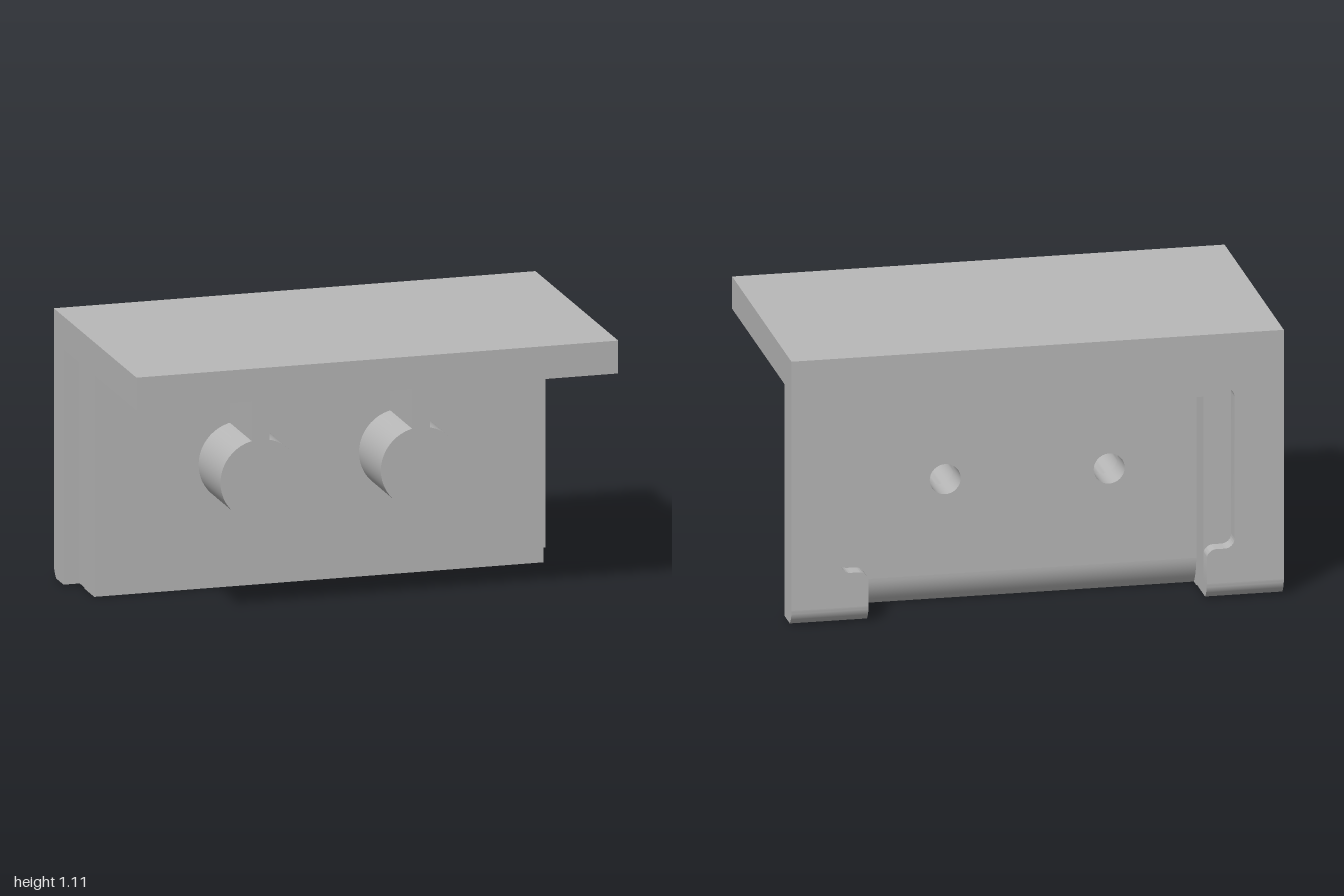
import * as THREE from 'three';
import { toCreasedNormals } from 'three/addons/utils/BufferGeometryUtils.js';

export function createModel() {
  const group = new THREE.Group();
  const grey = new THREE.MeshStandardMaterial({ color: 0xb8b8b8 });
  grey.name = 'grey';

  const add = (name, geometry) => {
    const mesh = new THREE.Mesh(geometry, grey);
    mesh.name = name;
    group.add(mesh);
    return mesh;
  };
  // Box given by its extents
  const box = (name, x0, x1, y0, y1, z0, z1) =>
    add(name, new THREE.BoxGeometry(x1 - x0, y1 - y0, z1 - z0)
      .translate((x0 + x1) / 2, (y0 + y1) / 2, (z0 + z1) / 2));
  // Front-facing shape extruded between two depths
  const slab = (name, shape, z0, z1) => {
    const g = new THREE.ExtrudeGeometry(shape, { depth: z1 - z0, bevelEnabled: false, curveSegments: 16 });
    return add(name, toCreasedNormals(g.translate(0, 0, z0), 0.6));
  };
  // Side profile (-z, y) extruded between two x positions
  const bar = (name, shape, x0, x1) => {
    const g = new THREE.ExtrudeGeometry(shape, { depth: x1 - x0, bevelEnabled: false, curveSegments: 10 });
    return add(name, toCreasedNormals(g.translate(0, 0, x0).rotateY(Math.PI / 2), 0.4));
  };
  // Upside-down U with a square opening
  const archShape = (w, bottom, top, openW, openTop) => {
    const s = new THREE.Shape();
    [[-w, bottom], [-w, top], [w, top], [w, bottom], [openW, bottom], [openW, openTop],
      [-openW, openTop], [-openW, bottom]].forEach(([x, y], i) => (i ? s.lineTo(x, y) : s.moveTo(x, y)));
    return s;
  };

  const UNDER = 0.972, FOOT = 0.067;
  const BACK = -0.567, LEDGE = -0.5, MID = -0.433, FLOOR = -0.367, FACE = -0.233, TIP = 0.067;
  const OPEN = 0.687, OPEN_TOP = 0.828;

  // Shelf
  box('shelf', -1, 1, UNDER, 1.107, BACK, 0.567);

  // Outer back frame: wide rounded recess narrowing between the feet
  const r = 0.04, W = 0.8, T = 0.88, B = 0.21;
  const frame = new THREE.Shape();
  frame.moveTo(-1, FOOT);
  frame.lineTo(-1, UNDER);
  frame.lineTo(1, UNDER);
  frame.lineTo(1, FOOT);
  frame.lineTo(OPEN, FOOT);
  frame.lineTo(OPEN, B - r);
  frame.absarc(OPEN + r, B - r, r, Math.PI, Math.PI / 2, true);
  frame.lineTo(W - r, B);
  frame.absarc(W - r, B + r, r, -Math.PI / 2, 0, false);
  frame.lineTo(W, T - r);
  frame.absarc(W - r, T - r, r, 0, Math.PI / 2, false);
  frame.lineTo(-W + r, T);
  frame.absarc(-W + r, T - r, r, Math.PI / 2, Math.PI, false);
  frame.lineTo(-W, B + r);
  frame.absarc(-W + r, B + r, r, Math.PI, Math.PI * 1.5, false);
  frame.lineTo(-OPEN - r, B);
  frame.absarc(-OPEN - r, B - r, r, Math.PI / 2, 0, true);
  frame.lineTo(-OPEN, FOOT);
  slab('backFrame', frame, BACK, LEDGE);

  // Inner ledge and spacer behind the front plate
  slab('ledgeFrame', archShape(1, FOOT, UNDER, OPEN, OPEN_TOP), LEDGE, MID);
  slab('spacerFrame', archShape(0.933, 0.005, UNDER, OPEN, OPEN_TOP), MID, FLOOR);

  // Feet with rounded back edge
  const foot = new THREE.Shape();
  foot.moveTo(-MID, 0.005);
  foot.lineTo(0.535, 0.005);
  foot.quadraticCurveTo(0.567, 0.03, 0.567, FOOT);
  foot.lineTo(-MID, FOOT);
  bar('leftFoot', foot, OPEN, 1);
  bar('rightFoot', foot, -1, -OPEN);

  // Front plate with two bolt holes
  const PX = 0.333, PY = 0.51, HOLE = 0.063, LIP = 0.114;
  const plate = new THREE.Shape();
  plate.moveTo(-0.933, LIP);
  plate.lineTo(0.933, LIP);
  plate.lineTo(0.933, UNDER);
  plate.lineTo(-0.933, UNDER);
  for (const side of [-1, 1]) {
    plate.holes.push(new THREE.Path().absarc(side * PX, PY, HOLE, 0, Math.PI * 2, true));
  }
  slab('frontPlate', plate, FLOOR, FACE);

  // Lower lip, curving forward underneath
  const lip = new THREE.Shape();
  lip.moveTo(-FACE, 0);
  lip.lineTo(0.32, 0);
  lip.quadraticCurveTo(-FLOOR, 0.055, -FLOOR, LIP);
  lip.lineTo(-FACE, LIP);
  bar('lowerLip', lip, -OPEN, OPEN);
  box('leftLipEnd', OPEN, 0.933, 0, LIP, FLOOR, FACE);
  box('rightLipEnd', -0.933, -OPEN, 0, LIP, FLOOR, FACE);

  // Round pegs with blind bolt holes, each hung from a thin rib
  const pegProfile = [[0, 0], [HOLE, 0], [HOLE, FACE], [0.167, FACE], [0.167, TIP], [0, TIP]]
    .map(([x, y]) => new THREE.Vector2(x, y));
  for (const side of [-1, 1]) {
    const name = side > 0 ? 'left' : 'right';
    const peg = new THREE.LatheGeometry(pegProfile, 48).rotateX(Math.PI / 2);
    add(name + 'Peg', toCreasedNormals(peg, 0.6)).position.set(side * PX, PY, 0);
    box(name + 'Rib', side * PX - 0.037, side * PX + 0.037, 0.62, UNDER, FACE, TIP);
  }

  return group;
}
